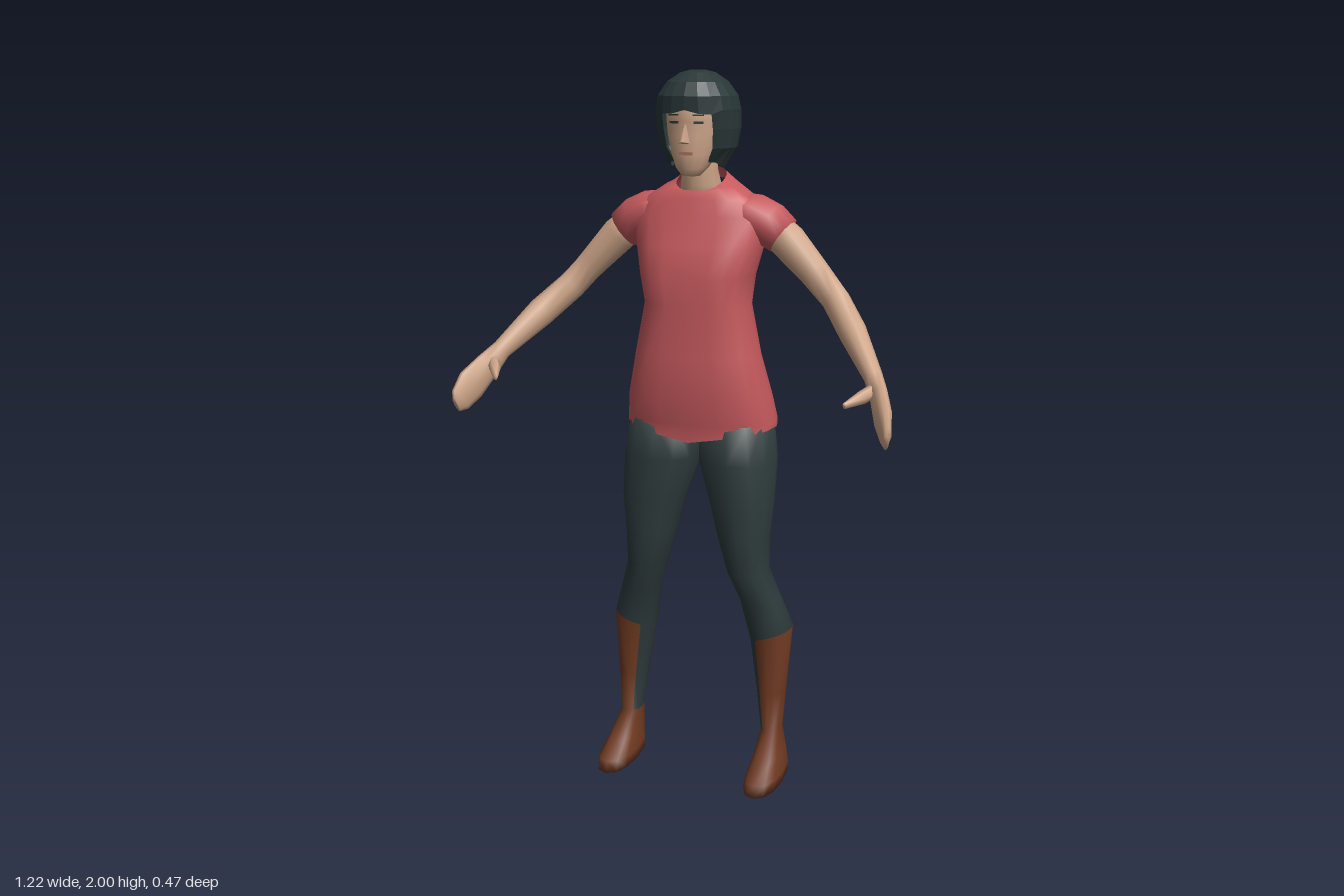
import * as THREE from 'three';

const mat = (name, color, extra = {}) => {
  const m = new THREE.MeshStandardMaterial({ color, ...extra });
  m.name = name;
  return m;
};

// A flat ring from [y, xMin, xMax, zMin, zMax]; warp may shift each point.
function levelRing([y, x0, x1, z0, z1], n, e = 1, warp) {
  const pts = [];
  for (let k = 0; k < n; k++) {
    const a = (k / n) * Math.PI * 2, c = Math.cos(a), s = Math.sin(a);
    const p = new THREE.Vector3(
      (x0 + x1) / 2 + (x1 - x0) / 2 * Math.sign(c) * Math.abs(c) ** e, y,
      (z0 + z1) / 2 + (z1 - z0) / 2 * Math.sign(s) * Math.abs(s) ** e);
    if (warp) warp(p, a);
    pts.push(p);
  }
  return pts;
}

// Rings across a path of [x, y, z, sideRadius, heightRadius].
function limbRings(path, n) {
  const P = path.map(p => new THREE.Vector3(p[0], p[1], p[2]));
  return path.map((p, i) => {
    const t = P[Math.min(i + 1, P.length - 1)].clone().sub(P[Math.max(i - 1, 0)]).normalize();
    const w = t.clone().cross(new THREE.Vector3(0, 1, 0)).normalize();
    const u = w.clone().cross(t);
    return Array.from({ length: n }, (_, k) => {
      const a = (k / n) * Math.PI * 2;
      return P[i].clone().addScaledVector(w, p[3] * Math.cos(a)).addScaledVector(u, p[4] * Math.sin(a));
    });
  });
}

// Skins rings; pick(ring, angle) gives a material index, or -1 for a gap.
function loft(name, rings, mats, { pick = () => 0, side = 1, caps = [true, true], flat = false } = {}) {
  const n = rings[0].length, pos = [], faces = mats.map(() => []);
  const add = p => { pos.push(p.x * side, p.y, p.z); return pos.length / 3 - 1; };
  const tri = (m, a, b, c) => faces[m].push(...(side > 0 ? [a, b, c] : [a, c, b]));
  rings.forEach(r => r.forEach(add));
  for (let i = 0; i < rings.length - 1; i++) {
    for (let k = 0; k < n; k++) {
      const m = pick(i, ((k + 0.5) / n) * Math.PI * 2);
      if (m < 0) continue;
      const a = i * n + k, b = i * n + (k + 1) % n;
      tri(m, a, a + n, b);
      tri(m, b, a + n, b + n);
    }
  }
  [0, rings.length - 1].forEach((i, end) => {
    if (!caps[end]) return;
    const mid = rings[i].reduce((s, p) => s.add(p), new THREE.Vector3()).divideScalar(n);
    const c = add(mid);
    for (let k = 0; k < n; k++) {
      const a = i * n + k, b = i * n + (k + 1) % n;
      end ? tri(0, c, b, a) : tri(0, c, a, b);
    }
  });
  let geo = new THREE.BufferGeometry();
  geo.setAttribute('position', new THREE.Float32BufferAttribute(pos, 3));
  geo.setIndex(faces.flat());
  let start = 0;
  faces.forEach((f, m) => { geo.addGroup(start, f.length, m); start += f.length; });
  if (flat) geo = geo.toNonIndexed();
  geo.computeVertexNormals();
  const mesh = new THREE.Mesh(geo, mats);
  mesh.name = name;
  return mesh;
}

export function createModel() {
  const D = { side: THREE.DoubleSide };
  const skin = mat('skin', 0xcfa689), shirt = mat('shirt', 0xc65a5e, D), hair = mat('hair', 0x2a3737, D);
  const leggings = mat('leggings', 0x2e3b3c), boot = mat('boot', 0x6f3a22), lip = mat('lips', 0xa8705f);
  const g = new THREE.Group();
  const sym = ([y, w, zb, zf]) => [y, -w, w, zb, zf];

  // Shirt body, with uneven hem, tilted collar, chest and seat shaping
  const body = [
    [1.0, .214, -.235, .01], [1.05, .214, -.243, .012], [1.12, .203, -.225, .032], [1.24, .176, -.188, .036],
    [1.38, .148, -.178, .028], [1.46, .158, -.192, .048], [1.54, .178, -.2, .016], [1.62, .19, -.2, -.008],
    [1.665, .155, -.19, -.02], [1.7, .1, -.178, -.028], [1.715, .066, -.165, -.035]];
  const bodyRings = body.map((s, i) => levelRing(sym(s), 20, .8, (p, a) => {
    const front = Math.sin(a), ax = Math.abs(p.x);
    if (i === 0) p.y += .035 * ax / .214 - (front < 0 ? -.025 * front : 0);
    if (i > 8) p.y -= front * (i === 10 ? .03 : .012);
    if (i === 5 && front > .5) p.z -= .022 * (1 - Math.min(1, ax / .07));
    if (i < 2 && front < -.9) p.z += .015 * (1 - Math.min(1, ax / .04));
  }));
  g.add(loft('shirtBody', bodyRings, [shirt, skin], {
    caps: [false, false],
    pick: (i, a) => (i === 7 || i === 8) && Math.abs(a - Math.PI * 1.5) < .33 ? 1 : 0,
  }));

  // Sleeves, arms, thumbs and legs, mirrored
  const legSections = [
    [0, .175, .276, -.16, .098], [.03, .176, .276, -.162, .085], [.07, .184, .264, -.16, .015],
    [.13, .19, .248, -.153, -.063], [.25, .175, .256, -.17, -.06], [.42, .15, .27, -.19, -.06],
    [.53, .127, .238, -.168, -.032], [.62, .095, .208, -.152, -.004], [.72, .066, .212, -.155, .002],
    [.82, .04, .222, -.17, .006], [.94, .002, .221, -.218, .01], [1.05, 0, .204, -.225, 0]];
  for (const side of [1, -1]) {
    const label = side > 0 ? 'left' : 'right';
    g.add(loft(label + 'Sleeve', limbRings([
      [.09, 1.643, -.11, .07, .04], [.145, 1.622, -.11, .078, .058],
      [.19, 1.598, -.109, .066, .062], [.23, 1.568, -.107, .05, .056]], 12), [shirt], { side }));
    g.add(loft(label + 'Arm', limbRings([
      [.2, 1.592, -.108, .044, .046], [.245, 1.553, -.106, .045, .05], [.32, 1.475, -.1, .038, .042],
      [.385, 1.405, -.088, .037, .04], [.45, 1.335, -.018, .036, .041], [.53, 1.24, .075, .024, .028],
      [.555, 1.2, .115, .022, .04], [.58, 1.155, .17, .022, .05], [.596, 1.118, .205, .014, .04],
      [.6, 1.108, .222, .008, .025]], 10), [skin], { side }));
    g.add(loft(label + 'Thumb', limbRings([
      [.545, 1.215, .1, .015, .02], [.518, 1.2, .145, .016, .018], [.487, 1.188, .202, .006, .008]], 6), [skin], { side }));
    // Boots open on the inner calf and heel
    g.add(loft(label + 'LegAndBoot', legSections.map(s => levelRing(s, 12, .85, p => {
      if (s[0] === .42) p.y += (p.x - .21) * .35;
    })), [boot, leggings], {
      side,
      pick: (i, a) => {
        const deg = a * 180 / Math.PI;
        if (i >= 5) return 1;
        if (i >= 3) return deg > 130 && deg < 200 ? 1 : 0;
        return i >= 1 && deg > 200 && deg < 230 ? 1 : 0;
      },
    }));
  }

  // Neck with hair down the nape
  g.add(loft('neck', [[1.64, .06, -.16, -.05], [1.7, .056, -.152, -.042], [1.74, .05, -.135, -.038], [1.83, .05, -.13, -.03]]
    .map(s => levelRing(sym(s), 12)), [skin, hair], {
    pick: (i, a) => i > 0 && a > Math.PI * 1.15 && a < Math.PI * 1.85 ? 1 : 0,
  }));

  // Head
  g.add(loft('head', [
    [1.728, .024, -.035, .006], [1.748, .042, -.07, .02], [1.785, .06, -.12, .027], [1.83, .073, -.15, .028],
    [1.87, .079, -.16, .028], [1.91, .08, -.165, .034], [1.95, .065, -.14, .012]]
    .map(s => levelRing(sym(s), 16, .92)), [skin]));
  const nose = new THREE.Mesh(new THREE.ConeGeometry(.016, .055, 4), skin);
  nose.name = 'nose';
  nose.position.set(0, 1.842, .032);
  nose.rotation.x = -.25;
  g.add(nose);

  // Eyes, brows and mouth
  const plate = (name, m, x, y, z, w, h, ry = 0) => {
    const p = new THREE.Mesh(new THREE.BoxGeometry(w, h, .006), m);
    p.name = name;
    p.position.set(x, y, z);
    p.rotation.y = ry;
    g.add(p);
  };
  for (const s of [1, -1]) {
    plate('eye', hair, s * .034, 1.868, .021, .026, .006, s * .35);
    plate('brow', hair, s * .034, 1.887, .024, .03, .004, s * .35);
  }
  plate('mouth', lip, 0, 1.788, .027, .036, .008);

  // Bobbed hair, open around the face
  g.add(loft('hair', [
    [1.765, .074, -.142, -.005], [1.8, .104, -.166, .012], [1.85, .112, -.183, .026], [1.9, .112, -.186, .038],
    [1.935, .105, -.18, .04], [1.97, .08, -.158, .02], [1.993, .046, -.125, -.015], [2, .02, -.095, -.045]]
    .map((s, i) => levelRing(sym(s), 20, .92, (p, a) => {
      if (i === 0) p.y -= .018 * Math.cos(a * 2) ** 2 * (Math.sin(a) > -.5 ? 1 : 0);
      if (i === 3 && Math.sin(a) > .7) p.y -= .012 * Math.abs(Math.cos(a * 3));
    })), [hair], {
    flat: true, caps: [false, true],
    pick: (i, a) => i < 3 && Math.abs(a - Math.PI / 2) < .62 ? -1 : 0,
  }));
  return g;
}
